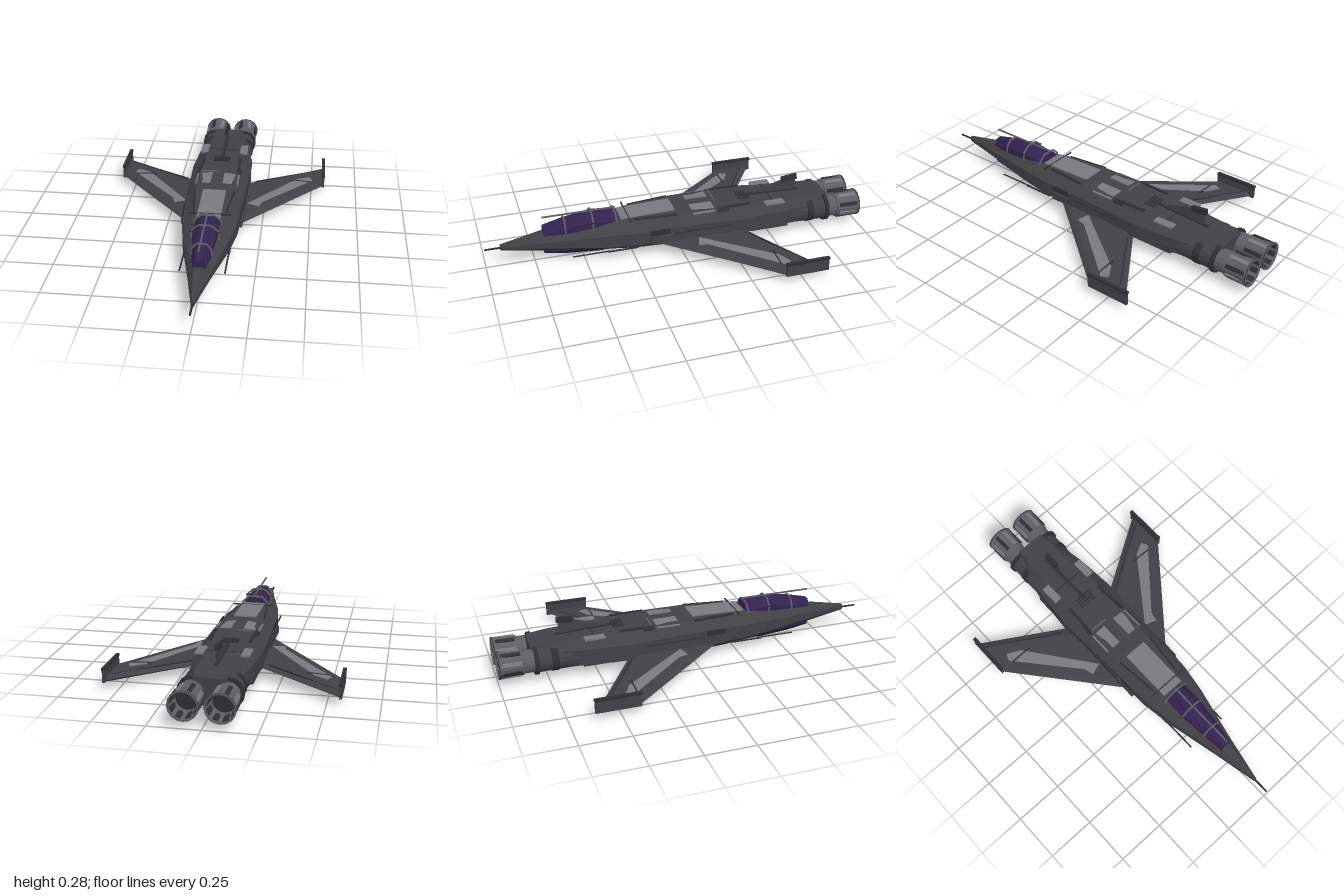
import * as THREE from 'three';

const mat = (name, color, extra = {}) => {
  const m = new THREE.MeshStandardMaterial({ color, flatShading: true, ...extra });
  m.name = name;
  return m;
};
const HULL = mat('charcoal hull', 0x414045);
const DARK = mat('dark trim', 0x2f2e32);
const LIGHT = mat('light grey panel', 0x77797e);
const METAL = mat('engine metal', 0x5d5e63, { side: THREE.DoubleSide });
const GLASS = mat('violet glass', 0x33224f);

// Skin between equal-length rings, with both ends capped; flip reverses the winding
function loft(rings, flip = false) {
  const pos = [];
  const tri = (a, b, c) => pos.push(...a, ...(flip ? c : b), ...(flip ? b : c));
  const n = rings[0].length;
  for (let i = 0; i < rings.length - 1; i++) {
    for (let j = 0; j < n; j++) {
      const k = (j + 1) % n, A = rings[i], B = rings[i + 1];
      tri(A[j], B[j], B[k]);
      tri(A[j], B[k], A[k]);
    }
  }
  const last = rings[rings.length - 1];
  for (let j = 1; j < n - 1; j++) {
    tri(rings[0][0], rings[0][j], rings[0][j + 1]);
    tri(last[0], last[j + 1], last[j]);
  }
  const g = new THREE.BufferGeometry();
  g.setAttribute('position', new THREE.Float32BufferAttribute(pos, 3));
  g.computeVertexNormals();
  return g;
}

// Hull stations: z, half width, top half width, top y, upper side y, lower side y, bottom half width, bottom y
const STATIONS = [
  [0.92, 0.007, 0.004, 0.122, 0.112, 0.098, 0.004, 0.09],
  [0.7, 0.051, 0.022, 0.16, 0.122, 0.09, 0.03, 0.066],
  [0.4, 0.117, 0.05, 0.188, 0.145, 0.08, 0.07, 0.048],
  [0.25, 0.14, 0.075, 0.2, 0.15, 0.078, 0.09, 0.037],
  [0, 0.15, 0.1, 0.205, 0.155, 0.075, 0.1, 0.032],
  [-0.36, 0.162, 0.108, 0.201, 0.15, 0.07, 0.1, 0.032],
  [-0.57, 0.146, 0.09, 0.193, 0.15, 0.07, 0.09, 0.038],
  [-0.73, 0.12, 0.085, 0.186, 0.15, 0.07, 0.085, 0.04],
  [-0.83, 0.085, 0.075, 0.178, 0.145, 0.075, 0.07, 0.045],
];
const octagon = ([z, w, tw, t, u, l, bw, b]) => [
  [w, l, z], [w, u, z], [tw, t, z], [-tw, t, z], [-w, u, z], [-w, l, z], [-bw, b, z], [bw, b, z],
];

// Height of the hull's upper surface
function deck(x, z) {
  let i = 0;
  while (i < STATIONS.length - 2 && z < STATIONS[i + 1][0]) i++;
  const A = STATIONS[i], B = STATIONS[i + 1], f = (z - A[0]) / (B[0] - A[0]);
  const [, w, tw, t, u] = A.map((v, k) => v + (B[k] - v) * f);
  return t - (t - u) * Math.max(0, (Math.abs(x) - tw) / (w - tw));
}
const wingTop = (x) => 0.084 - 0.055 * (Math.abs(x) - 0.16);

// Thin plate with an outline in x,z, laid on a surface given by a height rule
function plate(points, rule = deck, thick = 0.009) {
  const s = new THREE.Shape(points.map(([x, z]) => new THREE.Vector2(x, -z)));
  const g = new THREE.ExtrudeGeometry(s, { depth: thick, bevelEnabled: false }).rotateX(-Math.PI / 2);
  const p = g.attributes.position;
  for (let i = 0; i < p.count; i++) p.setY(i, p.getY(i) - 0.002 + rule(p.getX(i), p.getZ(i)));
  g.computeVertexNormals();
  return g;
}
const rect = (x0, x1, z0, z1) => [[x0, z0], [x1, z0], [x1, z1], [x0, z1]];

export function createModel() {
  const model = new THREE.Group();
  model.name = 'jet';
  const add = (name, geo, material, x = 0, y = 0, z = 0, parent = model) => {
    const m = new THREE.Mesh(geo, material);
    m.name = name;
    m.position.set(x, y, z);
    parent.add(m);
    return m;
  };
  const box = (name, material, w, h, d, x, y, z) => add(name, new THREE.BoxGeometry(w, h, d), material, x, y, z);

  // Fuselage, belly keel and nose probe
  add('fuselage', loft(STATIONS.map(octagon)), HULL);
  const keel = [[0.42, 0.05, 0.035, 0.024], [0.2, 0.085, 0.05, 0.01], [0, 0.1, 0.057, 0.003],
    [-0.1, 0.1, 0.057, 0], [-0.45, 0.09, 0.05, 0.014], [-0.72, 0.06, 0.04, 0.032]];
  add('bellyKeel', loft(keel.map(([z, w, bw, b]) => [
    [w, 0.06, z], [-w, 0.06, z], [-w, 0.037, z], [-bw, b, z], [bw, b, z], [w, 0.037, z],
  ])), HULL);
  add('noseProbe', new THREE.CylinderGeometry(0.005, 0.006, 0.1, 6).rotateX(Math.PI / 2), DARK, 0, 0.104, 0.95);

  // Upper canopy and chin glass
  const canopy = [[0.7, 0.03, 0.016, 0.192], [0.6, 0.045, 0.02, 0.216], [0.45, 0.06, 0.026, 0.238], [0.32, 0.062, 0.03, 0.224]];
  add('canopy', loft(canopy.map(([z, w, tw, t]) => [
    [w, 0.13, z], [w, t - 0.034, z], [tw, t, z], [-tw, t, z], [-w, t - 0.034, z], [-w, 0.13, z],
  ])), GLASS);
  const chin = [[0.7, 0.025, 0.015, 0.04], [0.58, 0.05, 0.028, 0.028], [0.4, 0.07, 0.04, 0.02]];
  add('chinGlass', loft(chin.map(([z, w, bw, b]) => [
    [w, 0.055, z], [w, 0.085, z], [-w, 0.085, z], [-w, 0.055, z], [-bw, b, z], [bw, b, z],
  ])), GLASS);

  // Canopy rails and hoops
  box('canopyRail', METAL, 0.008, 0.006, 0.38, 0, 0.243, 0.51);
  for (const [z, w, tw, t] of [[0.59, 0.05, 0.024, 0.222], [0.45, 0.068, 0.032, 0.241], [0.33, 0.072, 0.036, 0.23]]) {
    const path = new THREE.CurvePath();
    const pts = [[-w, 0.16], [-w, t - 0.034], [-tw, t], [tw, t], [w, t - 0.034], [w, 0.16]].map(([x, y]) => new THREE.Vector3(x, y, z));
    for (let i = 0; i < 5; i++) path.add(new THREE.LineCurve3(pts[i], pts[i + 1]));
    add('canopyHoop', new THREE.TubeGeometry(path, 20, 0.005, 5), METAL);
  }
  box('canopyCrossBar', DARK, 0.15, 0.006, 0.008, 0, 0.206, 0.45);
  box('deckCrossBar', DARK, 0.22, 0.006, 0.006, 0, 0.202, 0.265);

  // Deck panels, slots and markings
  add('spinePanel', plate([[-0.06, 0.305], [0.06, 0.305], [0.06, 0.02], [-0.06, 0.02]]), LIGHT);
  box('deckStrip', METAL, 0.1, 0.006, 0.008, -0.05, 0.204, 0.215 - 0.425);
  for (let i = 0; i < 4; i++) box('deckSlot', DARK, 0.09, 0.006, 0.007, 0, 0.203, -0.345 - i * 0.016);
  box('rearSeam', DARK, 0.18, 0.006, 0.006, 0, 0.194, -0.51);

  // Tail fin with its cap and base
  const finRing = (y, front, back, t) => [[t, y, back], [0, y, front], [-t, y, back]];
  add('tailFin', loft([finRing(0.19, -0.37, -0.665, 0.007), finRing(0.262, -0.6, -0.675, 0.005)]), HULL);
  add('tailFinBase', plate(rect(-0.008, 0.008, -0.37, -0.69)), DARK);
  box('finCap', DARK, 0.018, 0.028, 0.085, 0, 0.264, -0.638).rotation.x = 0.12;

  for (const s of [1, -1]) {
    const side = (pts) => pts.map(([x, z]) => [s * x, z]);

    // Swept wing with bevelled edges
    const wingRing = (x, lead, trail, y0, y1) => {
      const m = (y0 + y1) / 2, e = (lead - trail) * 0.12;
      return [[lead, m], [lead - e, y1], [trail + e, y1], [trail, m], [trail + e, y0], [lead - e, y0]].map(([z, y]) => [s * x, y, z]);
    };
    add('wing', loft([wingRing(0.1, 0.165, -0.31, 0.048, 0.087), wingRing(0.16, 0.09, -0.36, 0.046, 0.084),
      wingRing(0.56, -0.4, -0.615, 0.032, 0.062)], s < 0), HULL);
    add('wingPanel', plate(side([[0.165, -0.08], [0.228, -0.06], [0.24, -0.11], [0.505, -0.425], [0.488, -0.46], [0.42, -0.425]]), wingTop, 0.005), LIGHT);
    add('wingSeam', plate(side([[0.19, -0.345], [0.55, -0.565], [0.55, -0.572], [0.19, -0.352]]), (x) => wingTop(x) - 0.003, 0.006), DARK);
    add('wingSeam', plate(side(rect(0.38, 0.49, -0.4, -0.407)), wingTop, 0.007), DARK);

    // Upright wing tip
    box('wingTip', HULL, 0.014, 0.07, 0.225, s * 0.565, 0.073, -0.515);
    box('wingTipCap', DARK, 0.018, 0.012, 0.23, s * 0.565, 0.105, -0.515);

    // Deck plates, shoulder strips and side rails
    add('deckPanel', plate(side(rect(0.032, 0.114, -0.065, -0.185))), LIGHT);
    add('rearDeckPanel', plate(side(rect(0.09, 0.132, -0.46, -0.565)), () => 0.192), LIGHT);
    add('shoulderStrip', plate(side([[0.1, -0.2], [0.118, -0.2], [0.118, -0.26], [0.108, -0.26], [0.108, -0.38], [0.09, -0.38]])), DARK);
    add('frontShoulderStrip', plate(side([[0.078, 0.24], [0.084, 0.24], [0.106, 0.02], [0.1, 0.02]])), DARK);
    box('sideRail', HULL, 0.016, 0.04, 0.3, s * 0.15, 0.1, 0.02);
    box('rearSideRail', HULL, 0.016, 0.045, 0.2, s * 0.144, 0.085, -0.48);
    box('sideSlot', DARK, 0.006, 0.03, 0.1, s * 0.149, 0.14, 0.12);
    box('sideSeam', DARK, 0.005, 0.005, 0.45, s * 0.156, 0.125, -0.17);
    box('bellyStrip', METAL, 0.014, 0.008, 0.45, s * 0.09, 0.034, -0.2);
    box('sideProbe', DARK, 0.008, 0.003, 0.2, s * 0.11, 0.052, 0.47);
    add('sideProbeMount', new THREE.CylinderGeometry(0.005, 0.005, 0.16, 6).rotateX(Math.PI / 2), DARK, s * 0.112, 0.05, 0.31);

    // Engine: barrel, rings, flared nozzle, dark lining and petals
    const engine = new THREE.Group();
    engine.name = 'engine';
    engine.position.set(s * 0.083, 0.105, 0);
    model.add(engine);
    const tube = (name, r0, r1, z0, z1, material) => add(name,
      new THREE.CylinderGeometry(r1, r0, z0 - z1, 16).rotateX(-Math.PI / 2), material, 0, 0, (z0 + z1) / 2, engine);
    tube('engineBarrel', 0.06, 0.063, -0.55, -0.8, HULL);
    tube('frontCollar', 0.066, 0.066, -0.7, -0.735, DARK);
    tube('rearCollar', 0.073, 0.073, -0.8, -0.82, DARK);
    tube('engineNeck', 0.058, 0.058, -0.82, -0.87, METAL);
    const profile = [[0.05, 0.865], [0.064, 0.872], [0.064, 0.93], [0.072, 1], [0.065, 1]];
    add('nozzle', new THREE.LatheGeometry(profile.map(([r, d]) => new THREE.Vector2(r, d)), 16).rotateX(-Math.PI / 2), METAL, 0, 0, 0, engine);
    add('nozzleLining', new THREE.CylinderGeometry(0.053, 0.065, 0.095, 16, 1, true).scale(-1, 1, 1).rotateX(Math.PI / 2),
      METAL, 0, 0, -0.952, engine);
    tube('nozzleCore', 0.055, 0.055, -0.9, -0.908, DARK);
    add('nozzleRim', new THREE.TorusGeometry(0.069, 0.004, 5, 16), DARK, 0, 0, -0.995, engine);
    for (let i = 0; i < 8; i++) {
      const a = (i + 0.5) * Math.PI / 4;
      const petal = add('nozzlePetal', new THREE.BoxGeometry(0.007, 0.02, 0.1), i % 2 ? LIGHT : DARK,
        0.066 * Math.cos(a), 0.066 * Math.sin(a), -0.935, engine);
      petal.rotation.z = a;
      const liner = add('liningPetal', new THREE.BoxGeometry(0.006, 0.026, 0.085), DARK,
        0.058 * Math.cos(a), 0.058 * Math.sin(a), -0.95, engine);
      liner.rotation.z = a;
    }
  }
  return model;
}
